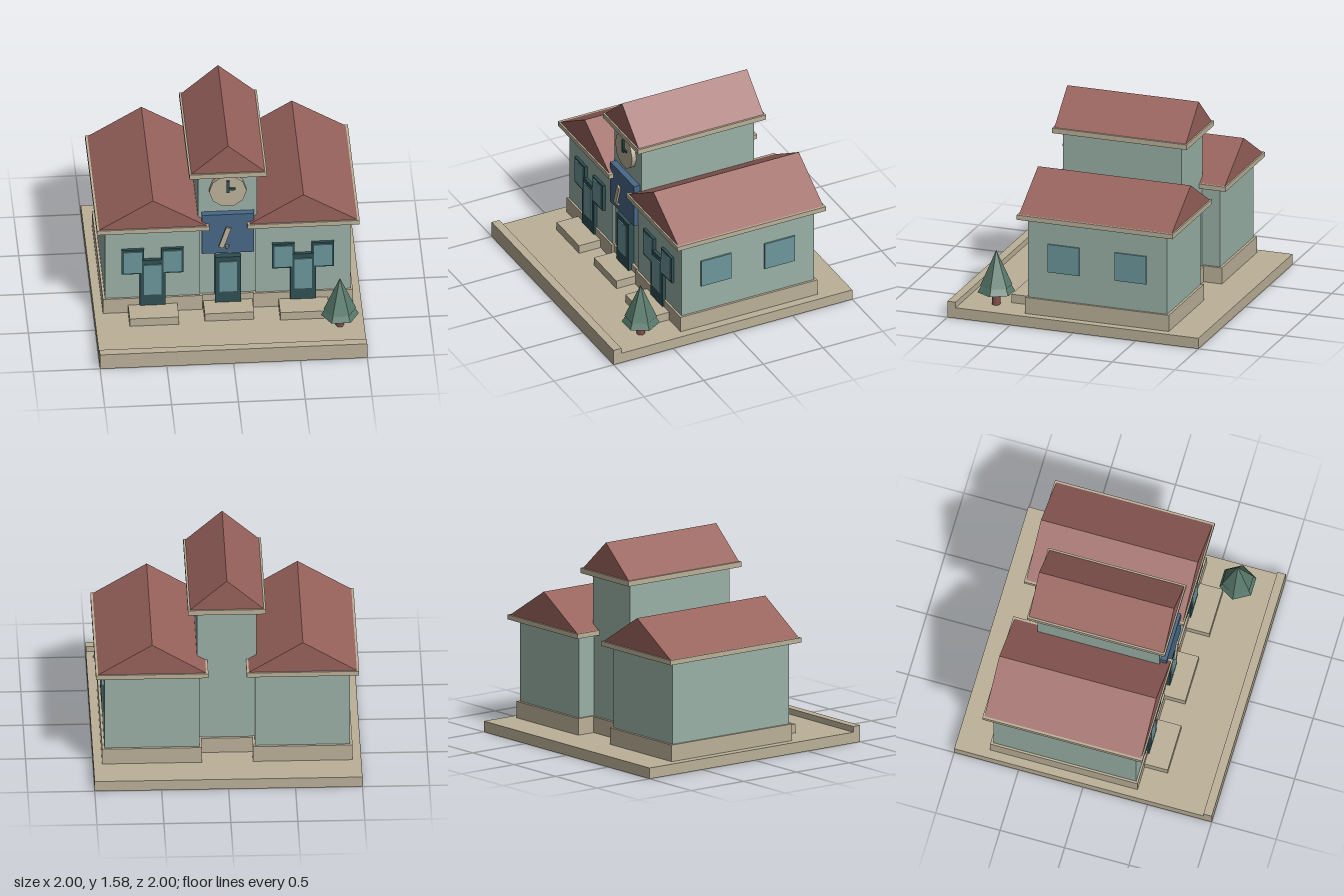
import * as THREE from 'three';

const material = (name, color) => {
  const m = new THREE.MeshStandardMaterial({ color });
  m.name = name;
  return m;
};

export function createModel() {
  const model = new THREE.Group();
  model.name = 'schoolhouse';

  const stone = material('stone', 0xbcb199);
  const wall = material('sage wall', 0x9ab1a7);
  const roofTile = material('red roof', 0x98625c);
  const frame = material('dark frame', 0x2f4f53);
  const glass = material('window glass', 0x6c979c);
  const signBlue = material('sign blue', 0x486888);
  const foliage = material('foliage', 0x58796b);
  const bark = material('bark', 0x86524e);

  const add = (parent, name, geometry, mat) => {
    const mesh = new THREE.Mesh(geometry, mat);
    mesh.name = name;
    parent.add(mesh);
    return mesh;
  };
  // Box given by its limits on each axis
  const box = (parent, name, mat, [x0, x1], [y0, y1], [z0, z1]) => {
    const mesh = add(parent, name, new THREE.BoxGeometry(x1 - x0, y1 - y0, z1 - z0), mat);
    mesh.position.set((x0 + x1) / 2, (y0 + y1) / 2, (z0 + z1) / 2);
    return mesh;
  };
  // Gabled roof: a triangle extruded along z
  const gable = (parent, name, halfWidth, [y0, y1], [z0, z1]) => {
    const shape = new THREE.Shape([
      new THREE.Vector2(-halfWidth, y0),
      new THREE.Vector2(halfWidth, y0),
      new THREE.Vector2(0, y1),
    ]);
    const geometry = new THREE.ExtrudeGeometry(shape, { depth: z1 - z0, bevelEnabled: false });
    add(parent, name, geometry, roofTile).position.z = z0;
  };
  const group = (name, x = 0) => {
    const g = new THREE.Group();
    g.name = name;
    g.position.x = x;
    model.add(g);
    return g;
  };
  // Framed door with a glass panel, and the step before it
  const door = (parent, stepDepth) => {
    box(parent, 'doorFrame', frame, [-0.097, 0.097], [0.15, 0.56], [0.36, 0.416]);
    box(parent, 'doorGlass', glass, [-0.065, 0.065], [0.25, 0.52], [0.41, 0.424]);
    box(parent, 'doorStep', stone, [-0.184, 0.184], [0.08, 0.15], [0.36, stepDepth]);
  };

  // Ground slab and front curb
  box(model, 'ground', stone, [-1, 1], [0, 0.083], [-1, 1]);
  box(model, 'curb', stone, [-1, 1], [0.083, 0.127], [0.935, 1]);

  // Two matching wings
  for (const side of [-1, 1]) {
    const wing = group(side < 0 ? 'rightWing' : 'leftWing', side * 0.563);
    box(wing, 'plinth', stone, [-0.372, 0.372], [0.08, 0.21], [-0.74, 0.405]);
    box(wing, 'walls', wall, [-0.355, 0.355], [0.21, 0.84], [-0.72, 0.39]);
    box(wing, 'cornice', stone, [-0.42, 0.42], [0.835, 0.872], [-0.787, 0.455]);
    gable(wing, 'roof', 0.403, [0.872, 1.12], [-0.775, 0.443]);
    door(wing, 0.585);
    for (const s of [-1, 1]) {
      const x = s * 0.148;
      box(wing, 'windowFrame', frame, [x - 0.084, x + 0.084], [0.435, 0.655], [0.38, 0.412]);
      box(wing, 'windowGlass', glass, [x - 0.068, x + 0.068], [0.451, 0.639], [0.405, 0.42]);
    }
  }

  // Windows on the outer wall of the left wing
  for (const z of [0.103, -0.43]) {
    box(model, 'sideWindow', glass, [0.91, 0.931], [0.43, 0.65], [z - 0.126, z + 0.126]);
  }

  // Central tower
  const tower = group('tower');
  box(tower, 'plinth', stone, [-0.238, 0.238], [0.08, 0.205], [-0.595, 0.388]);
  box(tower, 'walls', wall, [-0.222, 0.222], [0.205, 1.3], [-0.575, 0.37]);
  box(tower, 'cornice', stone, [-0.29, 0.29], [1.293, 1.333], [-0.64, 0.432]);
  gable(tower, 'roof', 0.275, [1.333, 1.577], [-0.628, 0.42]);
  door(tower, 0.56);

  // Clock with two hands
  const clock = new THREE.CylinderGeometry(0.14, 0.14, 0.04, 10, 1, false, Math.PI / 2);
  clock.rotateX(Math.PI / 2);
  add(tower, 'clockFace', clock.toNonIndexed(), stone).position.set(0, 1.152, 0.385);
  box(tower, 'minuteHand', frame, [-0.01, 0.01], [1.145, 1.25], [0.4, 0.417]);
  box(tower, 'hourHand', frame, [0.01, 0.055], [1.167, 1.186], [0.4, 0.415]);

  // Sign board with a slanted pencil
  box(tower, 'signBoard', signBlue, [-0.196, 0.196], [0.6, 0.95], [0.365, 0.418]);
  const pencil = box(tower, 'pencilBody', stone, [-0.045, -0.007], [0.67, 0.852], [0.438, 0.455]);
  pencil.rotation.z = -0.31;
  const tip = add(tower, 'pencilTip', new THREE.ConeGeometry(0.02, 0.035, 5), stone);
  tip.position.set(-0.01, 0.671, 0.446);
  tip.scale.z = 0.45;
  tip.rotation.z = Math.PI - 0.1;

  // Six-sided fir tree
  const tree = group('tree', 0.818);
  tree.position.z = 0.68;
  const trunk = new THREE.CylinderGeometry(0.031, 0.031, 0.12, 6, 1, false, Math.PI / 2);
  add(tree, 'trunk', trunk, bark).position.y = 0.143;
  for (const [radius, y0, y1] of [[0.142, 0.185, 0.43], [0.122, 0.236, 0.512]]) {
    const cone = new THREE.ConeGeometry(radius, y1 - y0, 6, 1, false, Math.PI / 2).toNonIndexed();
    cone.computeVertexNormals(); // faceted sides
    add(tree, 'foliageTier', cone, foliage).position.y = (y0 + y1) / 2;
  }

  return model;
}
